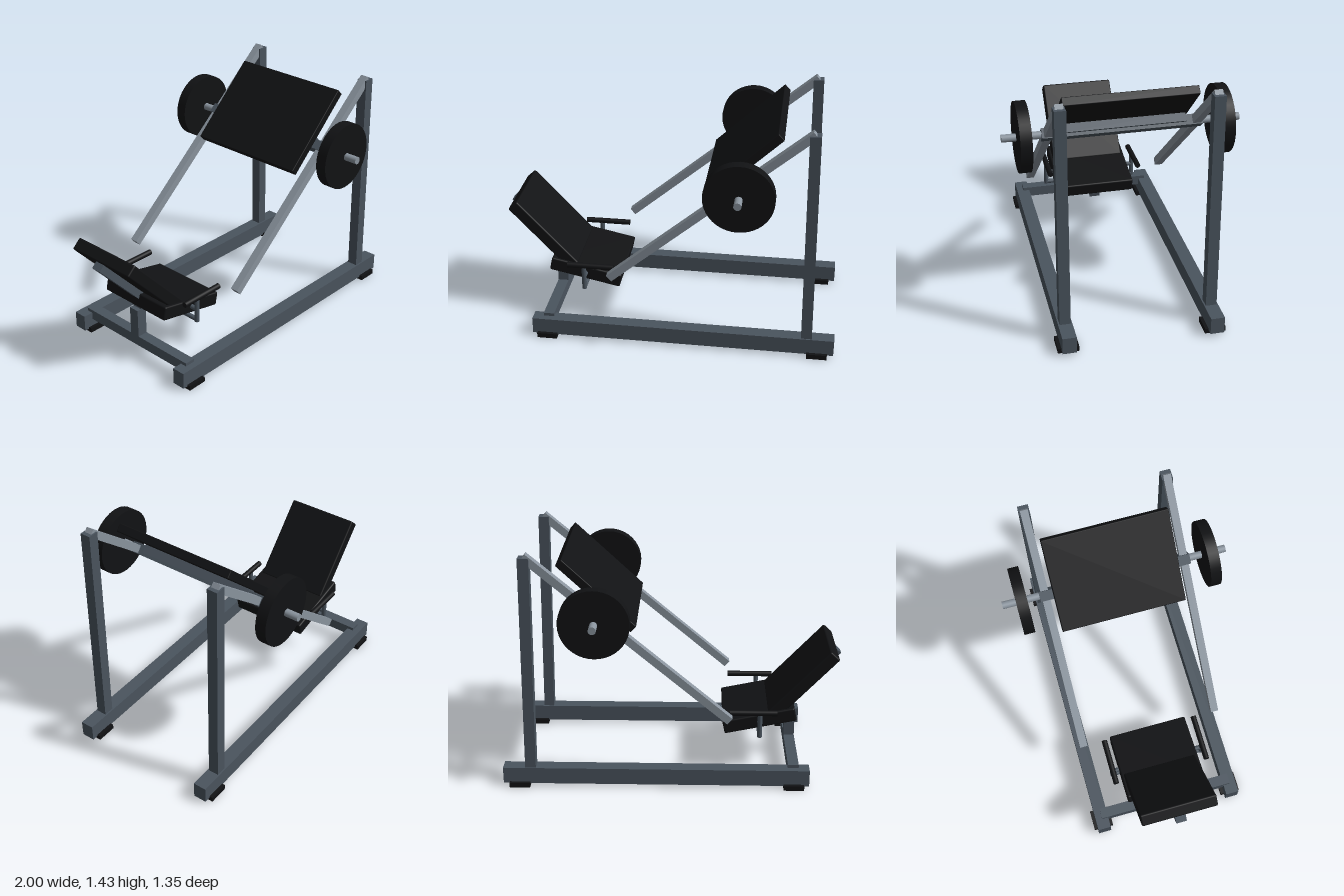
import * as THREE from 'three';
import { RoundedBoxGeometry } from 'three/addons/geometries/RoundedBoxGeometry.js';

const mat = (color) => new THREE.MeshStandardMaterial({ color });

export function createModel() {
  const model = new THREE.Group();
  model.name = 'legPressMachine';
  const frame = mat(0x4a545e), steel = mat(0x8a949e), black = mat(0x111214);

  const add = (name, geometry, material, x, y, z, tilt = 0) => {
    const mesh = new THREE.Mesh(geometry, material);
    mesh.name = name;
    mesh.position.set(x, y, z);
    mesh.rotation.z = THREE.MathUtils.degToRad(tilt);
    model.add(mesh);
    return mesh;
  };
  const box = (name, material, [w, h, d], [x, y, z], tilt) =>
    add(name, new THREE.BoxGeometry(w, h, d), material, x, y, z, tilt);
  const pad = (name, [w, h, d], [x, y, z], tilt, radius) =>
    add(name, new RoundedBoxGeometry(w, h, d, 3, radius), black, x, y, z, tilt);

  // Square or round bar between two points
  const rod = (name, material, a, b, radius, sides = 20) => {
    const from = new THREE.Vector3(...a), to = new THREE.Vector3(...b);
    const dir = to.clone().sub(from);
    const mid = from.clone().add(to).multiplyScalar(0.5);
    const mesh = add(name, new THREE.CylinderGeometry(radius, radius, dir.length(), sides), material, mid.x, mid.y, mid.z);
    mesh.quaternion.setFromUnitVectors(new THREE.Vector3(0, 1, 0), dir.normalize());
    return mesh;
  };
  const bar = (name, material, [x0, y0], [x1, y1], size, z) => {
    const dx = x1 - x0, dy = y1 - y0;
    return box(name, material, [Math.hypot(dx, dy), size, size], [(x0 + x1) / 2, (y0 + y1) / 2, z],
      THREE.MathUtils.radToDeg(Math.atan2(dy, dx)));
  };

  // Mirrored side frames, weights and handles
  for (const s of [1, -1]) {
    box('baseRail', frame, [1.8, 0.1, 0.08], [0.1, 0.07, s * 0.42]);
    for (const x of [-0.71, 0.903]) box('foot', black, [0.12, 0.03, 0.12], [x, 0.015, s * 0.42]);
    bar('upright', frame, [0.839, 0.08], [0.817, 1.403], 0.063, s * 0.42);
    bar('guideRail', steel, [-0.328, 0.428], [0.82, 1.408], 0.046, s * 0.42);

    const plate = add('weightPlate', new THREE.CylinderGeometry(0.198, 0.198, 0.065, 40), black, 0.428, 1.075, s * 0.562);
    plate.rotation.x = Math.PI / 2;

    rod('handlePost', frame, [-0.51, 0.253, s * 0.287], [-0.51, 0.41, s * 0.287], 0.014);
    rod('handleGrip', black, [-0.61, 0.409, s * 0.287], [-0.33, 0.409, s * 0.287], 0.017);
  }

  // Lower cross member and seat post
  box('crossMember', frame, [0.064, 0.064, 0.84], [-0.706, 0.107, 0]);
  box('seatPost', frame, [0.064, 0.21, 0.064], [-0.706, 0.21, 0]);

  // Seat with its support and handle crossbars
  pad('seat', [0.437, 0.083, 0.49], [-0.51, 0.335, 0], -12, 0.01);
  box('seatSupport', frame, [0.392, 0.045, 0.064], [-0.517, 0.28, 0], -12);
  for (const y of [0.265, 0.334])
    rod('handleCrossbar', frame, [-0.51, y, -0.287], [-0.51, y, 0.287], 0.014);

  // Backrest with its support
  pad('backrest', [0.53, 0.075, 0.456], [-0.764, 0.557, 0], -47.3, 0.01);
  bar('backrestSupport', frame, [-0.982, 0.707], [-0.68, 0.378], 0.045, 0).scale.z = 1.4;

  // Sliding carriage: beam, axle, bracket and foot plate
  box('carriageBeam', frame, [0.06, 0.06, 0.91], [0.428, 1.075, 0], 40.5);
  rod('weightAxle', steel, [0.428, 1.075, -0.675], [0.428, 1.075, 0.675], 0.022, 24);
  box('footPlateBracket', frame, [0.06, 0.05, 0.72], [0.43, 1.093, 0], 43.5);
  pad('footPlate', [0.567, 0.05, 0.75], [0.43, 1.162, 0], 43.5, 0.005);

  return model;
}
